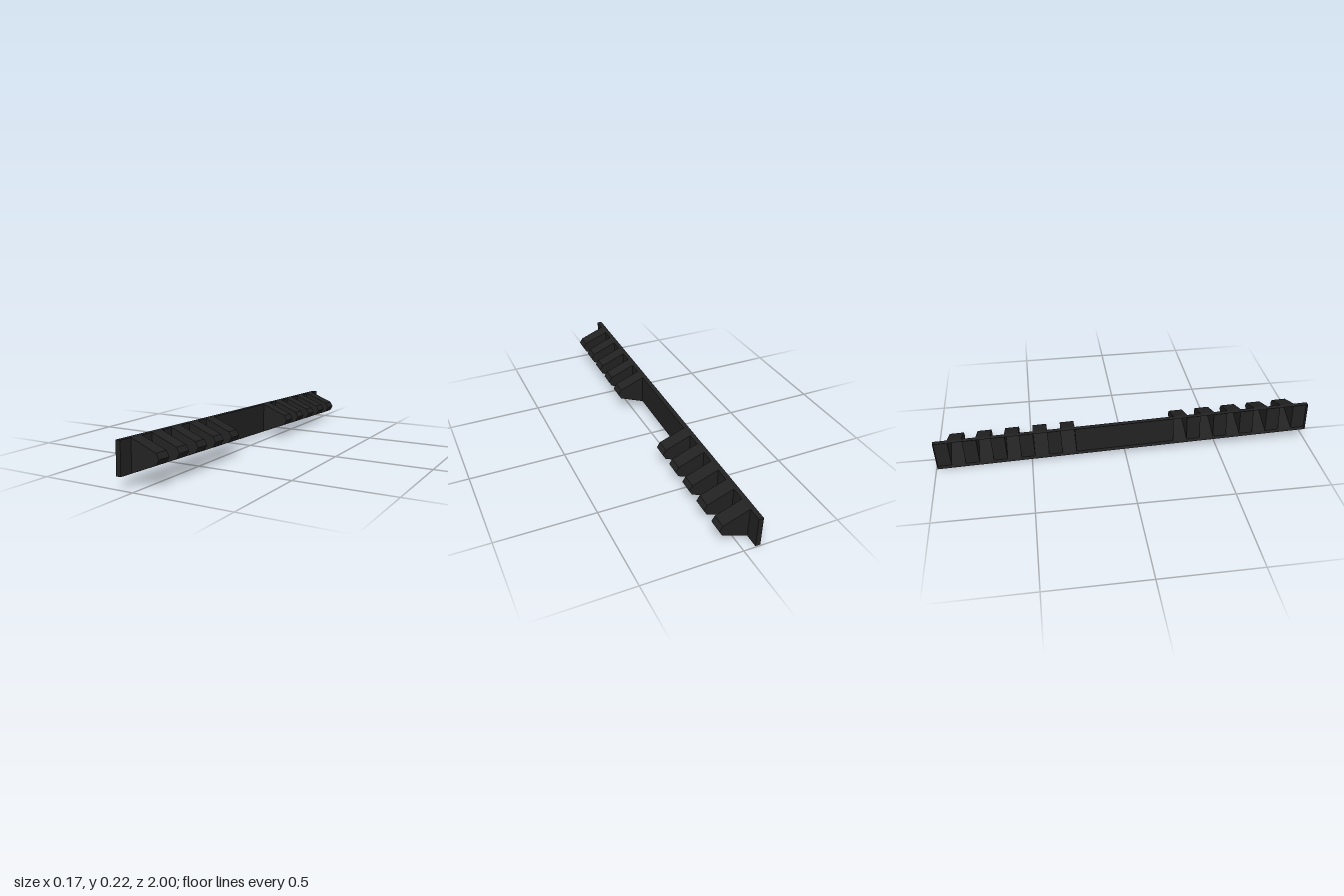
import * as THREE from 'three';

const BACK = -0.087, FACE = -0.062, HALF = 0.08, END = 0.9975;
const TILT = 0.03;

// Collects flat, convex polygons into one open shell
function shell(name, polygons, material) {
  const pos = [];
  for (const p of polygons) {
    for (let i = 1; i < p.length - 1; i++) pos.push(...p[0], ...p[i], ...p[i + 1]);
  }
  const geo = new THREE.BufferGeometry();
  geo.setAttribute('position', new THREE.Float32BufferAttribute(pos, 3));
  geo.computeVertexNormals();
  const mesh = new THREE.Mesh(geo, material);
  mesh.name = name;
  return mesh;
}

// Sweeps a profile (clockwise seen from +z) between two z values
function sweep(profile, z0, z1) {
  return profile.slice(1).map((b, i) => {
    const a = profile[i];
    return [[...a, z0], [...a, z1], [...b, z1], [...b, z0]];
  });
}

// Closes a swept profile at both ends
function caps(profile, z0, z1) {
  return [
    profile.map((p) => [...p, z0]),
    [...profile].reverse().map((p) => [...p, z1]),
  ];
}

export function createModel() {
  const black = new THREE.MeshStandardMaterial({ color: 0x222222, side: THREE.DoubleSide });
  black.name = 'matte black';

  const model = new THREE.Group();
  model.name = 'railCover';
  const rail = new THREE.Group();
  rail.name = 'tiltedRail';
  model.add(rail);

  // Shallow tray rim, open at the back
  const rim = [[BACK, HALF], [FACE, HALF], [FACE, -HALF], [BACK, -HALF]];
  rail.add(shell('baseRim', [
    ...sweep(rim.slice(0, 2), -END, END),
    ...sweep(rim.slice(2), -END, END),
    ...caps(rim, -END, END),
  ], black));

  // Hollow ribs, five towards each end
  const ribProfile = [[FACE, HALF], [0.071, 0.027], [0.087, 0], [0.071, -0.027], [FACE, -HALF]];
  const halfRib = 0.037;
  const centres = [];
  for (let i = 0; i < 5; i++) centres.push(0.301 + i * 0.147, -0.301 - i * 0.147);
  centres.sort((a, b) => a - b);

  // Wall panels fill the gaps between the ribs
  const wall = [[FACE, HALF], [FACE, -HALF]];
  let start = -END;
  for (const z of centres) {
    const z0 = z - halfRib, z1 = z + halfRib;
    rail.add(shell('rib', [...sweep(ribProfile, z0, z1), ...caps(ribProfile, z0, z1)], black));
    rail.add(shell('wallPanel', sweep(wall, start, z0), black));
    start = z1;
  }
  rail.add(shell('wallPanel', sweep(wall, start, END), black));

  // The rail rises slightly towards the front
  rail.rotation.x = -TILT;
  rail.position.y = HALF * Math.cos(TILT) + END * Math.sin(TILT);
  return model;
}
